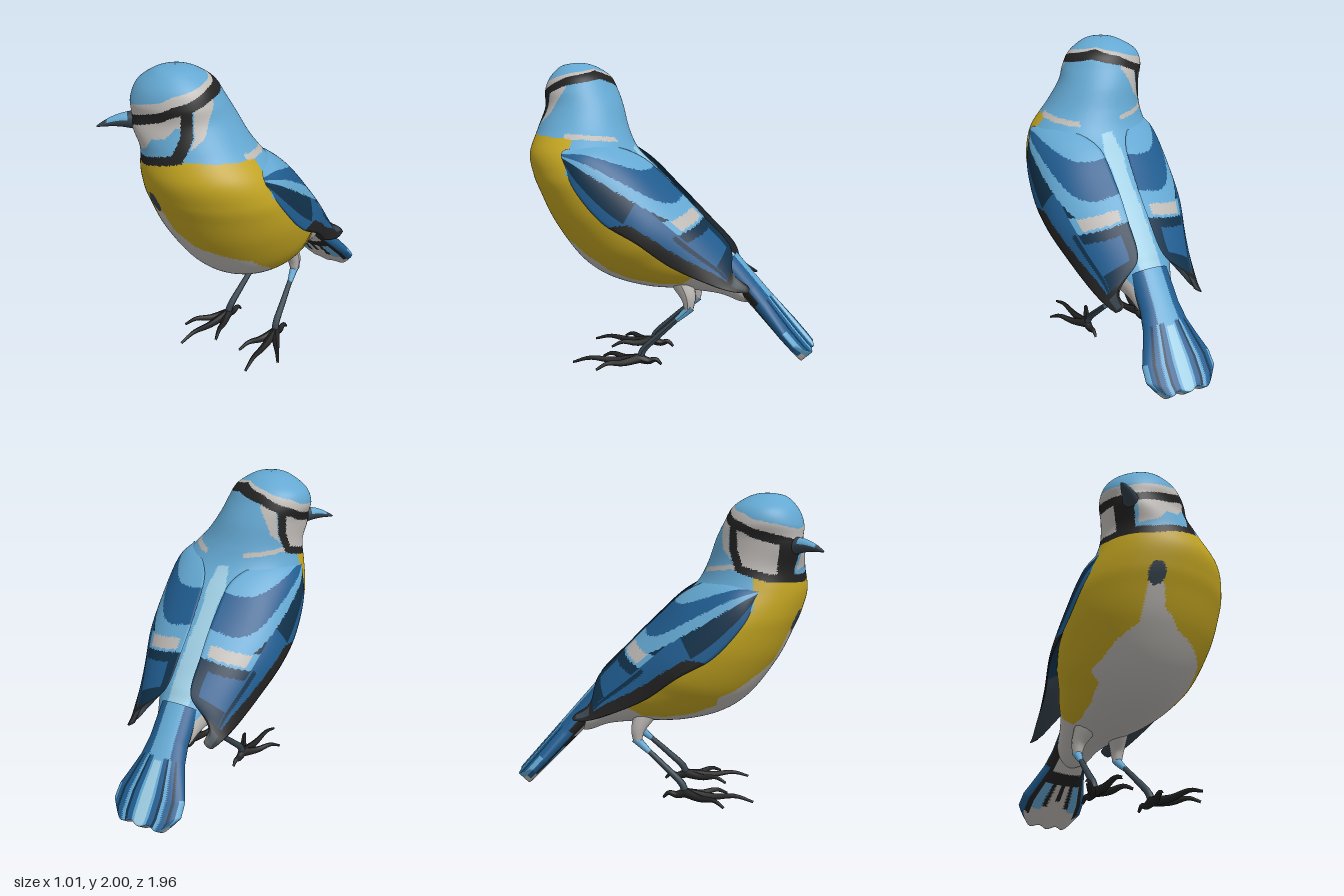
import * as THREE from 'three';

const V = (x, y, z) => new THREE.Vector3(x, y, z);
const palette = {
  skyBlue: 0x64a8d2, paleBlue: 0x9ccbe0, wingBlue: 0x205c8f, navy: 0x10314a, black: 0x222222,
  white: 0xbebab6, yellow: 0xc2a421, slate: 0x36434d,
};
const names = Object.keys(palette);
const mats = names.map((name) => new THREE.MeshStandardMaterial({ name, color: palette[name] }));
const M = Object.fromEntries(names.map((n, i) => [n, i]));

// Piecewise-linear lookup in [[x, y], ...]
function look(table, x) {
  if (x <= table[0][0]) return table[0][1];
  for (let i = 1; i < table.length; i++) {
    const [x0, y0] = table[i - 1], [x1, y1] = table[i];
    if (x <= x1) return y0 + (y1 - y0) * (x - x0) / (x1 - x0);
  }
  return table[table.length - 1][1];
}

// Closed-loop surface point(u, v); paint(p, u, v) picks the colour of each triangle
function loft(name, nu, nv, point, paint, flip = false) {
  const pos = [], faces = mats.map(() => []);
  for (let i = 0; i <= nu; i++)
    for (let j = 0; j < nv; j++) pos.push(...point(i / nu, j / nv).toArray());
  const add = (u, v, a, b, c) => faces[paint(point(u, v), u, v)].push(a, ...(flip ? [c, b] : [b, c]));
  for (let i = 0; i < nu; i++)
    for (let j = 0; j < nv; j++) {
      const k = (j + 1) % nv, a = i * nv + j, b = a + nv, c = i * nv + k, d = c + nv;
      add((i + 0.33) / nu, (j + 0.33) / nv, a, b, c);
      add((i + 0.67) / nu, (j + 0.67) / nv, b, d, c);
    }
  const g = new THREE.BufferGeometry();
  g.setAttribute('position', new THREE.Float32BufferAttribute(pos, 3));
  g.setIndex(faces.flat());
  let start = 0;
  faces.forEach((f, m) => {
    if (f.length) g.addGroup(start, f.length, m);
    start += f.length;
  });
  g.computeVertexNormals();
  const mesh = new THREE.Mesh(g, mats);
  mesh.name = name;
  return mesh;
}

const spline = (pts) => new THREE.CatmullRomCurve3(pts, false, 'catmullrom', 0.5);

// Body sections: front z, y, back z, y, half width, centre x
const sections = [
  [0.66, 2.0, 0.65, 2.0, 0.004, -0.15], [0.72, 1.994, 0.59, 1.993, 0.065, -0.15],
  [0.79, 1.97, 0.52, 1.967, 0.14, -0.15],
  [0.86, 1.89, 0.44, 1.91, 0.24, -0.155], [0.885, 1.8, 0.39, 1.82, 0.28, -0.145],
  [0.87, 1.7, 0.34, 1.71, 0.285, -0.105], [0.905, 1.56, 0.29, 1.56, 0.33, -0.055],
  [0.94, 1.4, 0.22, 1.43, 0.41, -0.01], [0.91, 1.26, 0.09, 1.3, 0.465, 0],
  [0.865, 1.15, -0.03, 1.18, 0.487, 0], [0.765, 0.945, -0.15, 1.06, 0.483, 0],
  [0.59, 0.707, -0.25, 0.95, 0.435, 0], [0.4, 0.575, -0.32, 0.87, 0.36, 0],
  [0.15, 0.51, -0.38, 0.81, 0.29, 0], [-0.1, 0.495, -0.42, 0.76, 0.22, 0],
  [-0.35, 0.47, -0.47, 0.71, 0.16, 0], [-0.5, 0.42, -0.53, 0.62, 0.12, 0],
  [-0.58, 0.42, -0.6, 0.5, 0.03, 0],
];
const frontLine = spline(sections.map((s) => V(0, s[1], s[0])));
const backLine = spline(sections.map((s) => V(0, s[3], s[2])));
const widthLine = spline(sections.map((s) => V(s[5], s[4], 0)));

function bodyPoint(u, v) {
  const t = u ** 1.15, a = v * 2 * Math.PI;
  const f = frontLine.getPoint(t), b = backLine.getPoint(t), w = widthLine.getPoint(t);
  const c = Math.cos(a), s = Math.sin(a);
  const p = V(w.x + w.y * s, (f.y + b.y) / 2 + (f.y - b.y) / 2 * c, (f.z + b.z) / 2 + (f.z - b.z) / 2 * c);
  // The face swells towards the beak
  const face = 0.045 * Math.max(0, Math.cos(a + Math.PI / 4)) ** 4 * Math.exp(-(((p.y - 1.67) / 0.12) ** 2));
  return p.add(V(-face, 0, face));
}

// Head markings, by angle from the turned beak direction and by height
const capLine = [[0, 1.775], [35, 1.81], [60, 1.835], [75, 1.87], [90, 1.885], [125, 1.925], [180, 1.955]];
const eyeLine = [[0, 1.68], [35, 1.72], [60, 1.75], [75, 1.785], [94, 1.81], [125, 1.87], [180, 1.915]];
const collarLine = [[0, 1.45], [35, 1.45], [73, 1.5], [90, 1.53], [180, 1.48]];
const cheekLine = [[1.5, 76], [1.65, 90], [1.8, 92]];
const cheekBlue = [[9, 1.52], [22, 1.535], [36, 1.55], [48, 1.62], [66, 1.635], [78, 1.7]];
const napePatch = [[1.56, 86], [1.65, 108], [1.75, 117], [1.82, 126]];
// Half-width limits of the white belly by height, and its upper edge by depth on the flanks
const bellyLeft = [[0.5, 0.26], [0.72, 0.32], [0.82, 0.3], [0.88, 0.15], [0.92, 0.02], [1.03, -0.1], [1.15, -0.13]];
const bellyRight = [[0.5, -0.26], [0.72, -0.35], [0.85, -0.3], [0.93, -0.22], [1.15, -0.22]];
const flankLine = [[-0.26, 0.75], [-0.22, 0.62], [-0.13, 0.565], [0, 0.56], [0.2, 0.595], [0.35, 0.66]];

function paintBody(p, u, v) {
  const dx = p.x + 0.15, dz = p.z - 0.62, y = p.y;
  const turn = Math.atan2(dx + dz, dz - dx) * 180 / Math.PI, a = Math.abs(turn);
  const collar = look(collarLine, a);
  if (y > collar) {
    const eye = look(eyeLine, a), cheek = look(cheekLine, y);
    if (y > look(capLine, a)) return M.skyBlue;
    if (y > eye + 0.03) return M.white;
    if (y > eye - 0.028) return M.black;
    if (a > cheek + 6.5) {
      if (y < collar + 0.03 && p.z < 0.62 && Math.abs(p.x - 0.02) > 0.14) return M.white;
      return a < look(napePatch, y) && a > cheek + 8 && y > 1.56 ? M.white : M.skyBlue;
    }
    if (a > cheek - 6.5 || y < collar + 0.05 || (turn > -24 && turn < 6)) return M.black;
    return turn > 0 && (y < look(cheekBlue, a) || (a < 11 && y < 1.64)) ? M.skyBlue : M.white;
  }
  const c = Math.cos(v * 2 * Math.PI);
  if (c < -0.5 || (y > 1.28 && p.z < 0.56))
    return Math.abs(p.x) < look([[-0.3, 0.075], [0, 0.05], [0.12, 0.065], [0.22, 0.04]], p.z) && p.z < 0.23
      ? M.paleBlue : M.skyBlue;
  if (p.z < 0.35) return p.z > -0.25 && y > look(flankLine, p.z) ? M.yellow : M.white;
  if (p.z > 0.5 && Math.hypot((p.x + 0.185) / 0.05, (y - 1.2) / 0.07) < 1) return M.slate;
  return y < 1.15 && p.x < look(bellyLeft, y) && p.x > look(bellyRight, y) ? M.white : M.yellow;
}

// Folded wing: upper edge, crown and lower edge of each section, shoulder to tip
const wingEdges = [
  [V(0.4, 1.44, 0.58), V(0.42, 1.41, 0.6), V(0.43, 1.36, 0.58)],
  [V(0.24, 1.46, 0.35), V(0.43, 1.38, 0.42), V(0.485, 1.2, 0.5)],
  [V(0.1, 1.38, 0.15), V(0.4, 1.26, 0.2), V(0.505, 1.0, 0.32)],
  [V(0.07, 1.2, -0.05), V(0.37, 1.07, -0.02), V(0.495, 0.87, 0.1)],
  [V(0.07, 1.0, -0.25), V(0.32, 0.88, -0.23), V(0.43, 0.72, -0.1)],
  [V(0.09, 0.81, -0.43), V(0.27, 0.72, -0.4), V(0.375, 0.61, -0.33)],
  [V(0.24, 0.66, -0.47), V(0.28, 0.61, -0.48), V(0.335, 0.56, -0.47)],
  [V(0.25, 0.585, -0.565), V(0.28, 0.565, -0.58), V(0.31, 0.55, -0.565)],
];
const wingLines = [0, 1, 2].map((k) => spline(wingEdges.map((e) => e[k])));

function wing(side) {
  const point = (u, v) => {
    const [t, m, l] = wingLines.map((line) => line.getPoint(u));
    const inner = v > 0.5, w = inner ? 2 - 2 * v : 2 * v;
    const thick = 0.07 * Math.sin(Math.PI * u);
    if (inner) m.add(V(-thick, -thick * 0.4, thick * 0.4));
    const ctrl = m.multiplyScalar(2).addScaledVector(t, -0.5).addScaledVector(l, -0.5);
    const p = new THREE.QuadraticBezierCurve3(t, ctrl, l).getPoint(w);
    p.x *= side;
    return p;
  };
  const paint = (p, uu, vv) => {
    const u = uu * 7, v = vv * 2;
    if (v > 1) return u < 3.6 ? M.navy : M.slate;
    if (u > 5.6) return u > 5.9 && u < 6.8 && v > 0.3 && v < 0.75 ? M.slate : M.black;
    // Curved bands: mantle, dark shoulder, light bar, white bar, flight feathers
    const m = Math.cbrt((u / 2.35) ** 3 + (v / 0.43) ** 3);
    if (m < 1) return M.skyBlue;
    if (m < 1.4) return M.wingBlue;
    const bar = u - 3.78 + 0.75 * v ** 1.5;
    if (Math.abs(bar) < 0.15 && v > 0.07 && v < 0.52) return M.white;
    if (m < 1.65 || (Math.abs(bar) < 0.22 && v < 0.6)) return M.skyBlue;
    if (v > look([[2.2, 1], [2.6, 0.88], [4, 0.82], [5.4, 0.74]], u)) return M.black;
    if (u < 2.5 && v < 0.9) return M.navy;
    if (bar < 0.48 && v < 0.6) return M.navy;
    if (u > 2.5 && (v < 0.13 || (u > 4.9 && v < 0.62) || (u > 3.6 && Math.abs(v - 0.66) < 0.035))) return M.navy;
    return M.wingBlue;
  };
  return loft(side > 0 ? 'leftWing' : 'rightWing', 110, 76, point, paint, side > 0);
}

// Tail fan with rounded feather ends
const tailWidth = [[0, 0.13], [0.3, 0.135], [0.45, 0.155], [0.75, 0.235], [0.92, 0.24], [1, 0.215]];
function tail() {
  const point = (u, v) => {
    const c = Math.cos(v * 2 * Math.PI), r = Math.sin(v * 2 * Math.PI);
    const s = Math.min(u / 0.95, 1), close = u > 0.95 ? Math.sqrt((1 - u) / 0.05) : 1;
    const notch = 0.03 * (1 - Math.cos(r * Math.PI * 3.4)) / 2 + 0.1 * r ** 6;
    const d = s * (1 - notch * s ** 4) * 0.79;
    const h = (0.085 - 0.025 * s) * c * close;
    return V(look(tailWidth, s) * r, 0.69 - 0.745 * d - 0.68 * h, -0.4 - 0.69 * d + 0.735 * h);
  };
  const paint = (p, u, v) => {
    const r = Math.abs(Math.sin(v * 2 * Math.PI)), under = Math.cos(v * 2 * Math.PI) > 0;
    if (under) {
      if (r > 0.86) return u > 0.4 ? M.wingBlue : M.black;
      if (r > 0.7 && u < 0.85) return M.black;
      if (u > 0.85 || u < 0.42) return M.white;
      if (u < 0.53) return M.black;
      if (r > 0.42) return u < 0.78 ? M.skyBlue : M.white;
      return (r > 0.28 && u < 0.75) || (r < 0.06 && u < 0.68) ? M.black : M.white;
    }
    if (u > 0.95) return M.skyBlue;
    if (r < 0.15) return u > 0.45 ? M.paleBlue : M.skyBlue;
    if (u < 0.42) return r < 0.5 ? M.skyBlue : M.wingBlue;
    if (r < 0.25) return M.skyBlue;
    if (r < 0.38) return M.wingBlue;
    if (r < 0.44) return M.navy;
    if (r < 0.56) return M.skyBlue;
    if (r > 0.9 && u > 0.7) return M.skyBlue;
    return r > 0.72 && r < 0.79 ? M.navy : M.wingBlue;
  };
  return loft('tail', 70, 80, point, paint);
}

// Tapered round limb along a smooth path
function limb(name, pts, r0, r1, color) {
  const path = new THREE.CatmullRomCurve3(pts), n = 14, sides = 10;
  const g = new THREE.TubeGeometry(path, n, 1, sides), pos = g.attributes.position, p = V(0, 0, 0);
  for (let i = 0; i < pos.count; i++) {
    const k = Math.floor(i / (sides + 1)) / n, c = path.getPointAt(k);
    p.fromBufferAttribute(pos, i).sub(c).multiplyScalar(r0 + (r1 - r0) * k).add(c);
    pos.setXYZ(i, p.x, Math.max(p.y, 0), p.z);
  }
  g.computeVertexNormals();
  const mesh = new THREE.Mesh(g, mats[M[color]]);
  mesh.name = name;
  return mesh;
}

function leg(side) {
  const group = new THREE.Group(), P = (x, y, z) => V(x * side, y, z);
  group.name = side > 0 ? 'leftLeg' : 'rightLeg';
  const foot = [0.205, 0.045, 0.15];
  group.add(limb('thigh', [P(0.12, 0.56, -0.12), P(0.145, 0.46, -0.165), P(0.15, 0.38, -0.17)], 0.075, 0.03, 'white'));
  group.add(limb('upperShin', [P(0.15, 0.4, -0.185), P(0.152, 0.365, -0.15), P(0.165, 0.31, -0.09)], 0.032, 0.018, 'skyBlue'));
  group.add(limb('shin', [P(0.16, 0.33, -0.11), P(0.182, 0.2, 0.03), P(0.197, 0.1, 0.13), P(...foot)], 0.017, 0.025, 'slate'));
  // Three front toes and a hind toe, each ending in a claw
  for (const [x, z] of [[0.1, 0.43], [0.27, 0.595], [0.395, 0.4], [0.2, 0.005]]) {
    const at = (k, y) => P(foot[0] + (x - foot[0]) * k, y, foot[2] + (z - foot[2]) * k);
    group.add(limb('toe', [P(...foot), at(0.4, 0.03), at(0.75, 0.042), at(1, 0.01)], 0.032, 0.008, 'black'));
  }
  return group;
}

// Beak: tapering loops with a paler top near the face
function beak() {
  const root = V(-0.335, 1.675, 0.815), tip = V(-0.503, 1.643, 0.972);
  const across = V(0.707, 0, 0.707), up = V(0, 1, 0);
  const point = (u, v) => {
    const a = v * 2 * Math.PI, r = 0.062 * (1 - u) ** 0.75;
    return root.clone().lerp(tip, u).addScaledVector(across, 0.85 * r * Math.cos(a))
      .addScaledVector(up, 0.9 * r * Math.sin(a) + 0.015 * Math.sin(Math.PI * u));
  };
  return loft('beak', 20, 32, point, (p, u, v) =>
    v > 0.04 && v < 0.46 && u > 0.2 && u < 0.72 ? M.skyBlue : M.slate, true);
}

export function createModel() {
  const bird = new THREE.Group();
  bird.name = 'bird';
  bird.add(loft('body', 240, 180, bodyPoint, paintBody), tail(), beak());
  for (const side of [1, -1]) bird.add(wing(side), leg(side));
  return bird;
}
